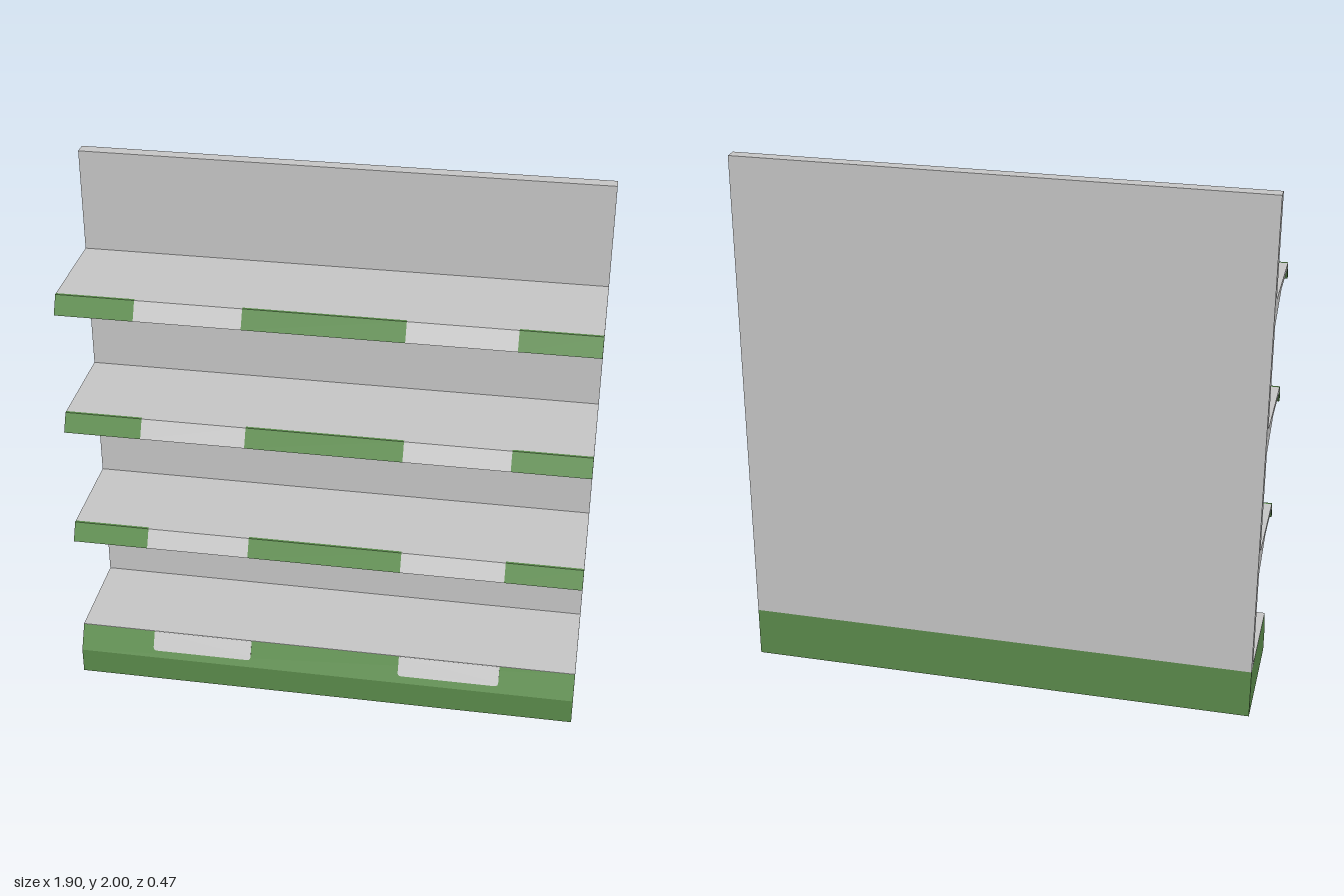
import * as THREE from 'three';

const HALF = 0.95; // half width
const BACK = -0.237, PANEL_FRONT = -0.19, SHELF_FRONT = 0.19;
const BASE_TOP = 0.19;

const grey = new THREE.MeshStandardMaterial({ color: 0xc8c8c8 });
grey.name = 'light grey metal';
const green = new THREE.MeshStandardMaterial({ color: 0x5c8c4c });
green.name = 'green paint';

// Extrudes a side profile of [z, y] points from x0 to x1
function extrudeProfile(name, points, x0, x1, material) {
  const shape = new THREE.Shape(points.map(([z, y]) => new THREE.Vector2(z, y)));
  const geometry = new THREE.ExtrudeGeometry(shape, { depth: x1 - x0, bevelEnabled: false });
  geometry.rotateY(-Math.PI / 2).translate(x1, 0, 0);
  const mesh = new THREE.Mesh(geometry, material);
  mesh.name = name;
  return mesh;
}

function box(name, x0, x1, y0, y1, z0, z1, material) {
  const mesh = new THREE.Mesh(new THREE.BoxGeometry(x1 - x0, y1 - y0, z1 - z0), material);
  mesh.position.set((x0 + x1) / 2, (y0 + y1) / 2, (z0 + z1) / 2);
  mesh.name = name;
  return mesh;
}

// Shelf board, slanted front lip in alternating colours, and end brackets
function createShelf(top) {
  const shelf = new THREE.Group();
  shelf.name = 'shelf';
  shelf.add(box('shelfBoard', -HALF, HALF, -0.02, 0, PANEL_FRONT, 0.18, grey));

  const lip = [[0.18, 0], [0.18, -0.02], [0.202, -0.065], [0.224, -0.065], [SHELF_FRONT, 0]];
  const stops = [-HALF, -0.667, -0.285, 0.285, 0.667, HALF];
  for (let i = 0; i < 5; i++) {
    const label = i % 2 === 1;
    shelf.add(extrudeProfile(label ? 'lipLabel' : 'lip', lip, stops[i], stops[i + 1], label ? grey : green));
  }

  const bracket = [[PANEL_FRONT, -0.02], [PANEL_FRONT, -0.092], [-0.025, -0.02]];
  shelf.add(extrudeProfile('leftBracket', bracket, HALF - 0.045, HALF, grey));
  shelf.add(extrudeProfile('rightBracket', bracket, -HALF, -HALF + 0.045, grey));
  shelf.position.y = top;
  return shelf;
}

// Label plate with rounded lower corners, hanging from the base's top edge
function createBaseLabel(x) {
  const w = 0.191, h = 0.0745, r = 0.014;
  const shape = new THREE.Shape();
  shape.moveTo(-w, 0);
  shape.lineTo(-w, -h + r);
  shape.quadraticCurveTo(-w, -h, -w + r, -h);
  shape.lineTo(w - r, -h);
  shape.quadraticCurveTo(w, -h, w, -h + r);
  shape.lineTo(w, 0);
  const geometry = new THREE.ExtrudeGeometry(shape, { depth: 0.002, bevelEnabled: false, curveSegments: 4 });
  const mesh = new THREE.Mesh(geometry, grey);
  mesh.rotation.x = -Math.atan2(0.047, 0.09);
  mesh.position.set(x, BASE_TOP, SHELF_FRONT);
  mesh.name = 'baseLabel';
  return mesh;
}

export function createModel() {
  const model = new THREE.Group();
  model.name = 'displayShelving';

  // Plinth with a sloped front and a grey deck
  const base = [[BACK, 0], [0.237, 0], [0.237, 0.1], [SHELF_FRONT, BASE_TOP], [BACK, BASE_TOP]];
  model.add(extrudeProfile('base', base, -HALF, HALF, green));
  model.add(box('baseDeck', -HALF, HALF, BASE_TOP, BASE_TOP + 0.002, PANEL_FRONT, SHELF_FRONT, grey));
  for (const side of [-1, 1]) model.add(createBaseLabel(side * 0.476));

  model.add(box('backPanel', -HALF, HALF, BASE_TOP, 2, BACK, PANEL_FRONT, grey));

  for (let i = 0; i < 3; i++) model.add(createShelf(0.667 + i * 0.4765));
  return model;
}
